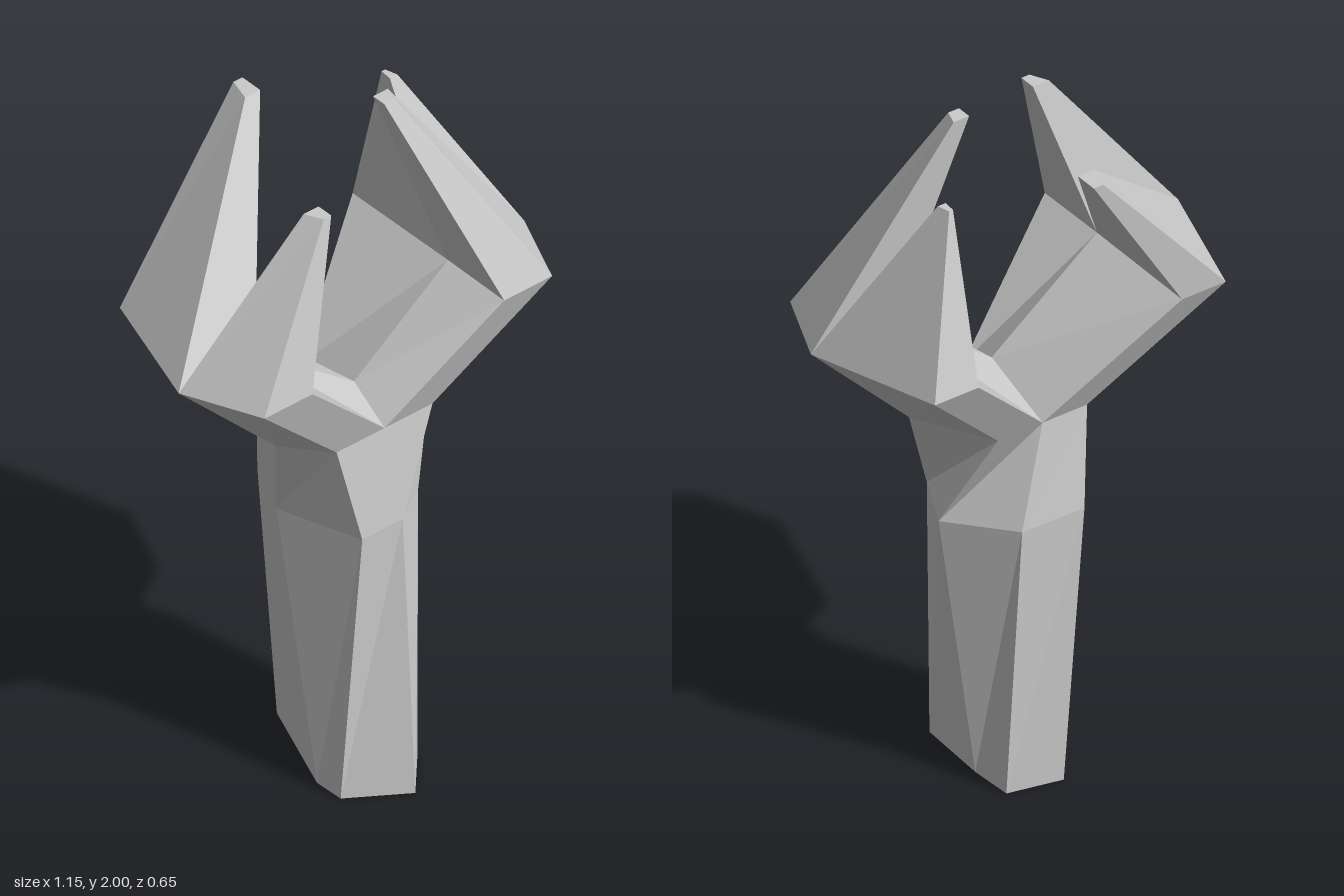
import * as THREE from 'three';

const material = new THREE.MeshStandardMaterial({ color: 0xcccccc, flatShading: true });

// Skins a stack of rings (each counterclockwise seen from above), with optional end caps.
function loft(name, rings, { bottom = false, top = false } = {}) {
  const pos = [];
  const tri = (a, b, c) => {
    const [p, q, r] = [a, b, c].map((v) => new THREE.Vector3(...v));
    if (q.sub(p).cross(r.sub(p)).length() > 1e-6) pos.push(...a, ...b, ...c);
  };
  for (let k = 0; k + 1 < rings.length; k++) {
    const lo = rings[k], hi = rings[k + 1], n = lo.length;
    for (let i = 0; i < n; i++) {
      const j = (i + 1) % n;
      tri(lo[i], lo[j], hi[j]);
      tri(lo[i], hi[j], hi[i]);
    }
  }
  const first = rings[0], last = rings[rings.length - 1];
  for (let i = 1; i + 1 < first.length; i++) {
    if (bottom) tri(first[0], first[i + 1], first[i]);
    if (top) tri(last[0], last[i], last[i + 1]);
  }
  const geometry = new THREE.BufferGeometry();
  geometry.setAttribute('position', new THREE.Float32BufferAttribute(pos, 3));
  geometry.computeVertexNormals();
  const mesh = new THREE.Mesh(geometry, material);
  mesh.name = name;
  return mesh;
}

// Level ring from [x, z] corners.
const ring = (y, pts) => pts.map(([x, z]) => [x, y, z]);

export function createModel() {
  const group = new THREE.Group();
  group.name = 'forkedTrunk';

  // Trunk: irregular seven-sided column, widening to the fork (front corner doubled)
  group.add(loft('trunk', [
    ring(0, [[-0.145, 0.22], [-0.145, 0.22], [0.015, 0.325], [0.115, 0.215],
      [0.127, 0], [0.12, -0.125], [-0.035, -0.16], [-0.148, 0.13]]),
    ring(0.81, [[-0.09, 0.24], [-0.09, 0.24], [0.045, 0.24], [0.156, 0.17],
      [0.235, 0.01], [0.093, -0.156], [-0.10, -0.16], [-0.172, 0]]),
    ring(1.10, [[-0.15, 0.21], [0.01, 0.21], [0.17, 0.21], [0.27, 0.09],
      [0.15, -0.13], [0.01, -0.13], [-0.13, -0.13], [-0.25, 0.09]]),
  ], { bottom: true }));

  // Each branch carries two tapering prongs; tips follow the order of their base corners
  const sides = [
    { side: 'left', s: 1, y: 1.415,
      front: { y: 2.0, tip: [[0.123, 0.076], [0.157, 0.076], [0.172, 0.032], [0.123, 0.032]] },
      back: { y: 1.885, tip: [[0.303, -0.114], [0.328, -0.114], [0.318, -0.15], [0.306, -0.15]] } },
    { side: 'right', s: -1, y: 1.43,
      front: { y: 1.885, tip: [[-0.185, 0.23], [-0.21, 0.23], [-0.235, 0.18], [-0.185, 0.18]] },
      back: { y: 1.92, tip: [[-0.01, -0.255], [-0.06, -0.255], [-0.04, -0.325], [-0.01, -0.325]] } },
  ];

  for (const { side, s, y, front, back } of sides) {
    // Mirrored rings are reversed to keep faces outward
    const wind = (r) => (s > 0 ? r : [...r].reverse());
    const root = ring(1.10, [[0, 0.21], [0.16, 0.21], [0.26, 0.09], [0.14, -0.13], [0, -0.13], [0, 0.09]]
      .map(([x, z]) => [0.01 + s * x, z]));
    root[5][1] = 1.18; // raised crotch
    const end = ring(y, [[0.32, 0.315], [0.48, 0.315], [0.577, 0.092], [0.457, -0.28], [0.32, -0.28], [0.322, 0.092]]
      .map(([x, z]) => [s * x, z]));
    group.add(loft(side + 'Branch', [wind(root), wind(end)]));

    const prong = (name, corners, { y: tipY, tip }) => group.add(loft(side + name,
      [wind(corners.map((i) => end[i])), wind(ring(tipY, tip))], { bottom: true, top: true }));
    prong('FrontProng', [0, 1, 2, 5], front);
    prong('BackProng', [5, 2, 3, 4], back);
  }
  return group;
}
